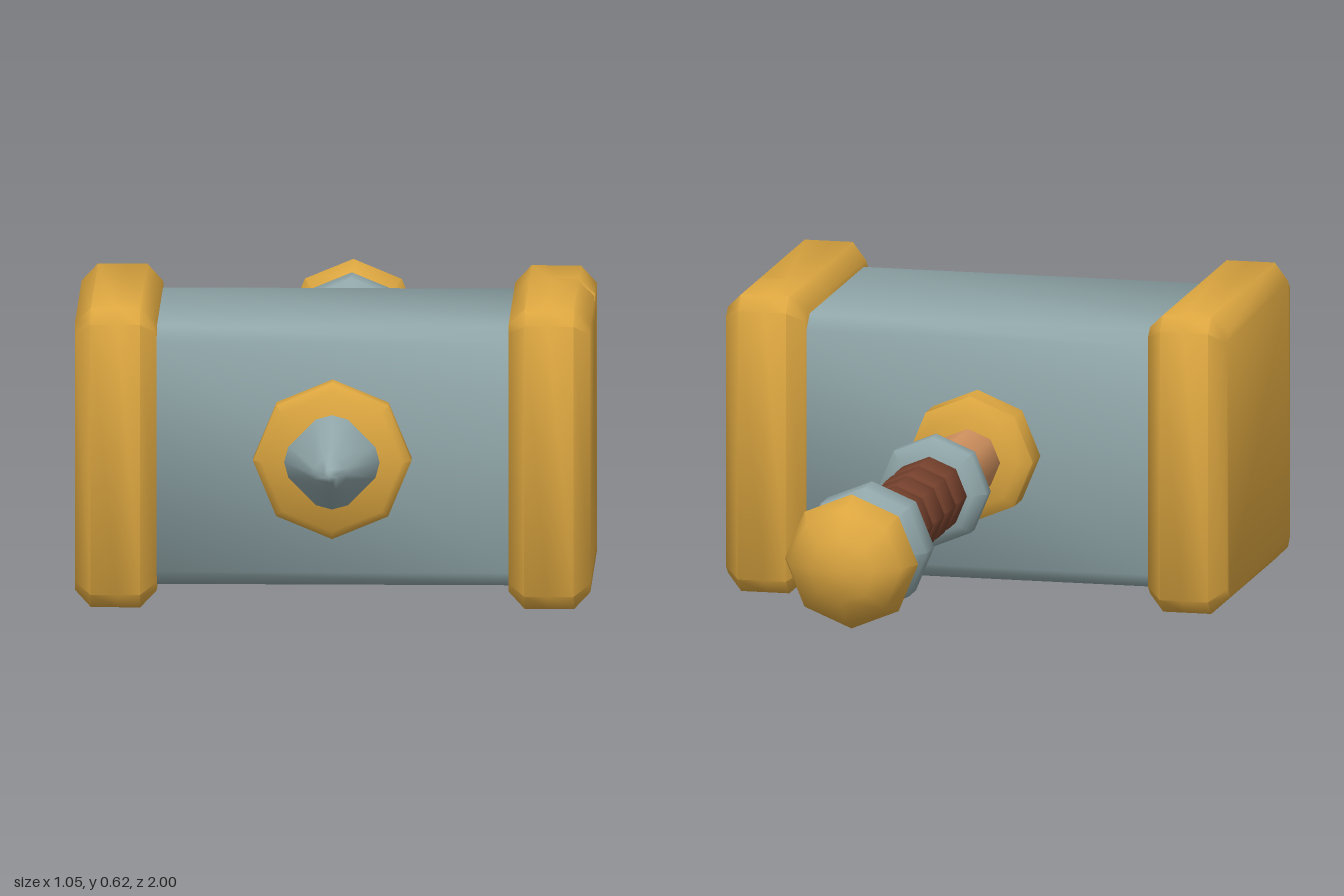
import * as THREE from 'three';
import { toCreasedNormals } from 'three/addons/utils/BufferGeometryUtils.js';

const CREASE = 0.9; // keeps 45 degree bevels soft and square edges sharp
const AXIS_Y = 0.31;
const HEAD_Z = 0.49;

function material(name, color) {
  const m = new THREE.MeshStandardMaterial({ color });
  m.name = name;
  return m;
}

// Closed solid through rings of [u, v] points, each at its own z.
function loft(sections) {
  const out = [];
  const tri = (a, b, c) => {
    const n = b.clone().sub(a).cross(c.clone().sub(a));
    if (n.length() > 1e-9) for (const p of [a, b, c]) out.push(p.x, p.y, p.z);
  };
  const rings = sections.map(({ z, points }) => points.map(([u, v]) => new THREE.Vector3(u, v, z)));
  for (let i = 0; i + 1 < rings.length; i++) {
    const lower = rings[i], upper = rings[i + 1];
    lower.forEach((a, j) => {
      const k = (j + 1) % lower.length;
      tri(a, lower[k], upper[k]);
      tri(a, upper[k], upper[j]);
    });
  }
  const close = (ring, flip) => {
    const flat = ring.map((p) => new THREE.Vector2(p.x, p.y));
    for (const [a, b, c] of THREE.ShapeUtils.triangulateShape(flat, [])) {
      if (flip) tri(ring[a], ring[c], ring[b]);
      else tri(ring[a], ring[b], ring[c]);
    }
  };
  close(rings[0], true);
  close(rings[rings.length - 1], false);
  const g = new THREE.BufferGeometry();
  g.setAttribute('position', new THREE.Float32BufferAttribute(out, 3));
  return toCreasedNormals(g, CREASE);
}

// Square with cut corners; notch = [halfWidth, depth] dents its top edge.
function square(h, c, notch) {
  const dent = notch ? [[0.1 + notch[0], h], [0.1, h - notch[1]], [0.1 - notch[0], h]] : [];
  return [
    [h, c - h], [h, h - c], [h - c, h], ...dent, [c - h, h],
    [-h, h - c], [-h, c - h], [c - h, -h], [h - c, -h],
  ];
}

// Diamond with softened corners
function diamond(r) {
  const points = [];
  for (let k = 0; k < 4; k++) {
    const c = Math.round(Math.cos(k * Math.PI / 2)), s = Math.round(Math.sin(k * Math.PI / 2));
    for (const [u, v] of [[1, 0], [0.91, 0.33], [0.33, 0.91]]) {
      points.push([r * (u * c - v * s), r * (u * s + v * c)]);
    }
  }
  return points;
}

// Eight-sided turned part along z; profile is [radius, z] with z rising.
function turned(profile) {
  const g = new THREE.LatheGeometry(profile.map(([r, z]) => new THREE.Vector2(r, z)), 8);
  g.rotateX(Math.PI / 2);
  return toCreasedNormals(g, CREASE);
}

// Bevelled ring profile from z0 to z1
function band(r, z0, z1, bevel, inset = bevel) {
  return [[0, z0], [r - inset, z0], [r, z0 + bevel], [r, z1 - bevel], [r - inset, z1], [0, z1]];
}

export function createModel() {
  const gold = material('gold', 0xdca640);
  const steel = material('steel', 0x8fa5a8);
  const wood = material('wood', 0xd2925f);
  const leather = material('leather', 0x74402c);

  const model = new THREE.Group();
  model.name = 'warHammer';
  const add = (name, geometry, mat, z = 0) => {
    const mesh = new THREE.Mesh(geometry, mat);
    mesh.name = name;
    mesh.position.set(0, AXIS_Y, z);
    model.add(mesh);
    return mesh;
  };

  // Steel block of the head
  const block = loft([-0.38, 0.38].map((z) => ({ z, points: square(0.268, 0.03) })));
  add('headBlock', block.rotateY(Math.PI / 2), steel, HEAD_Z);

  // Gold end caps; the left one has a battle notch
  for (const side of [1, -1]) {
    const notch = (w, d) => (side > 0 ? [w, d] : null);
    const cap = loft([
      { z: 0.36, points: square(0.278, 0.02, notch(0, 0)) },
      { z: 0.393, points: square(0.31, 0.03, notch(0, 0)) },
      { z: 0.44, points: square(0.31, 0.03, notch(0, 0)) },
      { z: 0.494, points: square(0.31, 0.03, notch(0.015, 0.055)) },
      { z: 0.527, points: square(0.278, 0.02, notch(0.016, 0.055)) },
    ]);
    add(side > 0 ? 'leftCap' : 'rightCap', cap.rotateY(side * Math.PI / 2), gold, HEAD_Z);
  }

  // Front spike and its collar
  add('frontCollar', turned(band(0.162, 0.73, 0.818, 0.018)), gold);
  add('spike', loft([
    { z: 0.79, points: diamond(0.108) },
    { z: 0.815, points: diamond(0.099) },
    { z: 0.965, points: diamond(0.036) },
    { z: 0.99, points: diamond(0.014) },
    { z: 1, points: diamond(0.003) },
  ]), steel);

  // Handle
  add('backCollar', turned(band(0.132, 0.135, 0.25, 0.02, 0.028)), gold);
  add('shaft', turned([[0.068, -0.7], [0.068, 0.2]]), wood);
  add('upperRing', turned(band(0.115, -0.202, -0.12, 0.024)), steel);
  const edges = [-0.69, -0.587, -0.488, -0.386, -0.287, -0.19];
  for (let i = 0; i < 5; i++) {
    add('gripWrap' + (i + 1), turned(band(0.079, edges[i], edges[i + 1], 0.014)), leather);
  }
  add('lowerRing', turned(band(0.131, -0.81, -0.675, 0.035, 0.03)), steel);

  // Pommel
  add('pommel', turned([
    [0, -1], [0.068, -0.985], [0.118, -0.945], [0.14, -0.89], [0.118, -0.835], [0.08, -0.8], [0, -0.8],
  ]), gold);

  return model;
}
